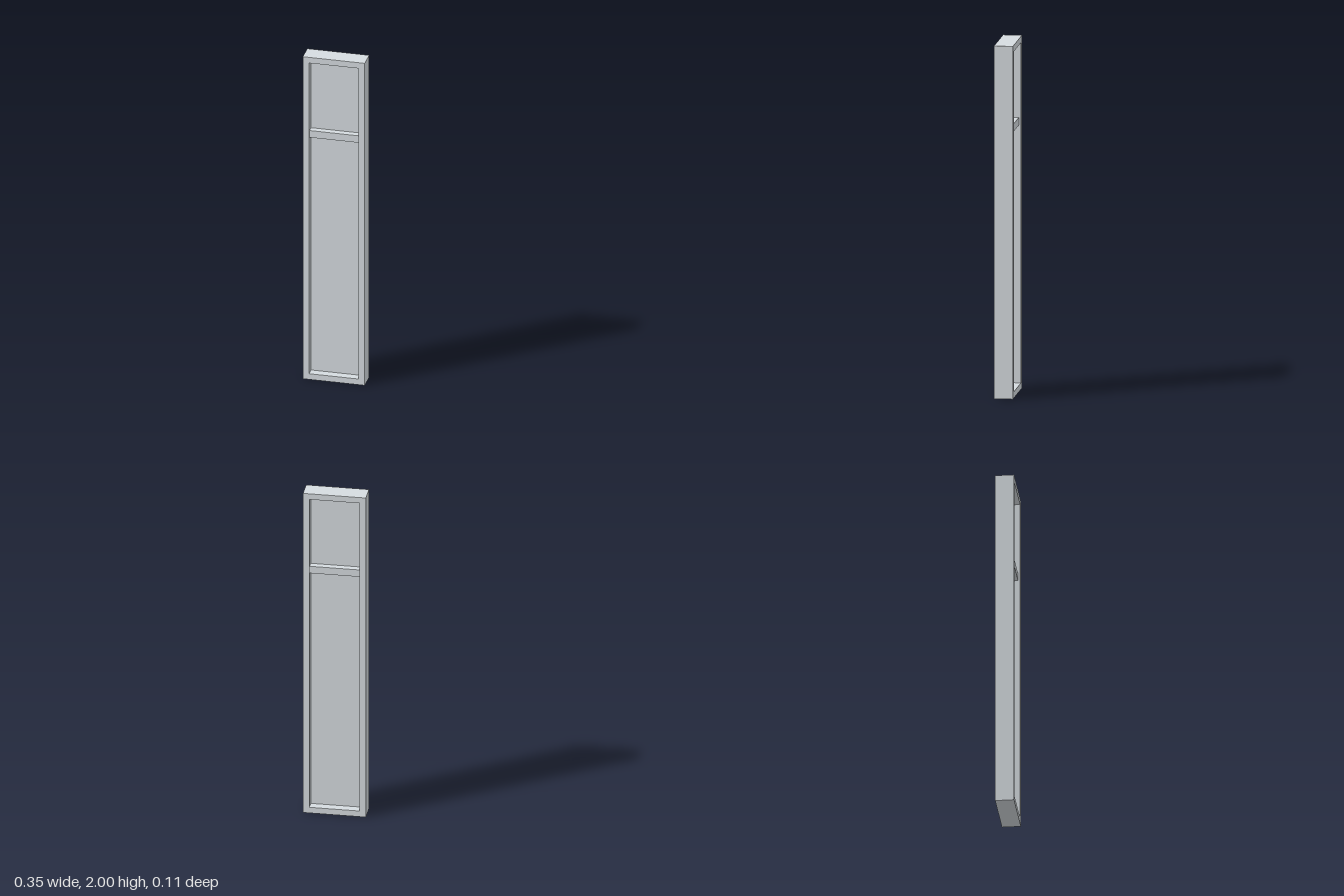
import * as THREE from 'three';

const WIDTH = 0.355, HEIGHT = 2, DEPTH = 0.106;
const RIM = 0.0355; // width of the frame members
const INNER = WIDTH - RIM * 2; // width of the opening

// Counter-clockwise rectangle traced onto a shape or path
function rect(path, x0, y0, x1, y1) {
  path.moveTo(x0, y0);
  path.lineTo(x1, y0);
  path.lineTo(x1, y1);
  path.lineTo(x0, y1);
  path.closePath();
  return path;
}

export function createModel() {
  const group = new THREE.Group();
  group.name = 'windowPanel';
  const grey = new THREE.MeshStandardMaterial({ color: 0xd6dce0 });
  grey.name = 'pale grey';

  // Box spanning the opening between two heights
  const addBox = (name, y0, y1, depth) => {
    const box = new THREE.Mesh(new THREE.BoxGeometry(INNER, y1 - y0, depth), grey);
    box.position.y = (y0 + y1) / 2;
    box.name = name;
    group.add(box);
  };

  // Outer frame
  const outline = rect(new THREE.Shape(), -WIDTH / 2, 0, WIDTH / 2, HEIGHT);
  outline.holes.push(rect(new THREE.Path(), -INNER / 2, RIM, INNER / 2, HEIGHT - RIM));
  const frameGeometry = new THREE.ExtrudeGeometry(outline, { depth: DEPTH, bevelEnabled: false });
  frameGeometry.translate(0, 0, -DEPTH / 2);
  const frame = new THREE.Mesh(frameGeometry, grey);
  frame.name = 'frame';
  group.add(frame);

  // Crossbar set slightly back from the frame faces, and thin panes midway in its depth
  addBox('crossbar', 1.497, 1.54, 0.082);
  addBox('lowerPane', RIM, 1.497, 0.008);
  addBox('upperPane', 1.54, HEIGHT - RIM, 0.008);

  return group;
}
